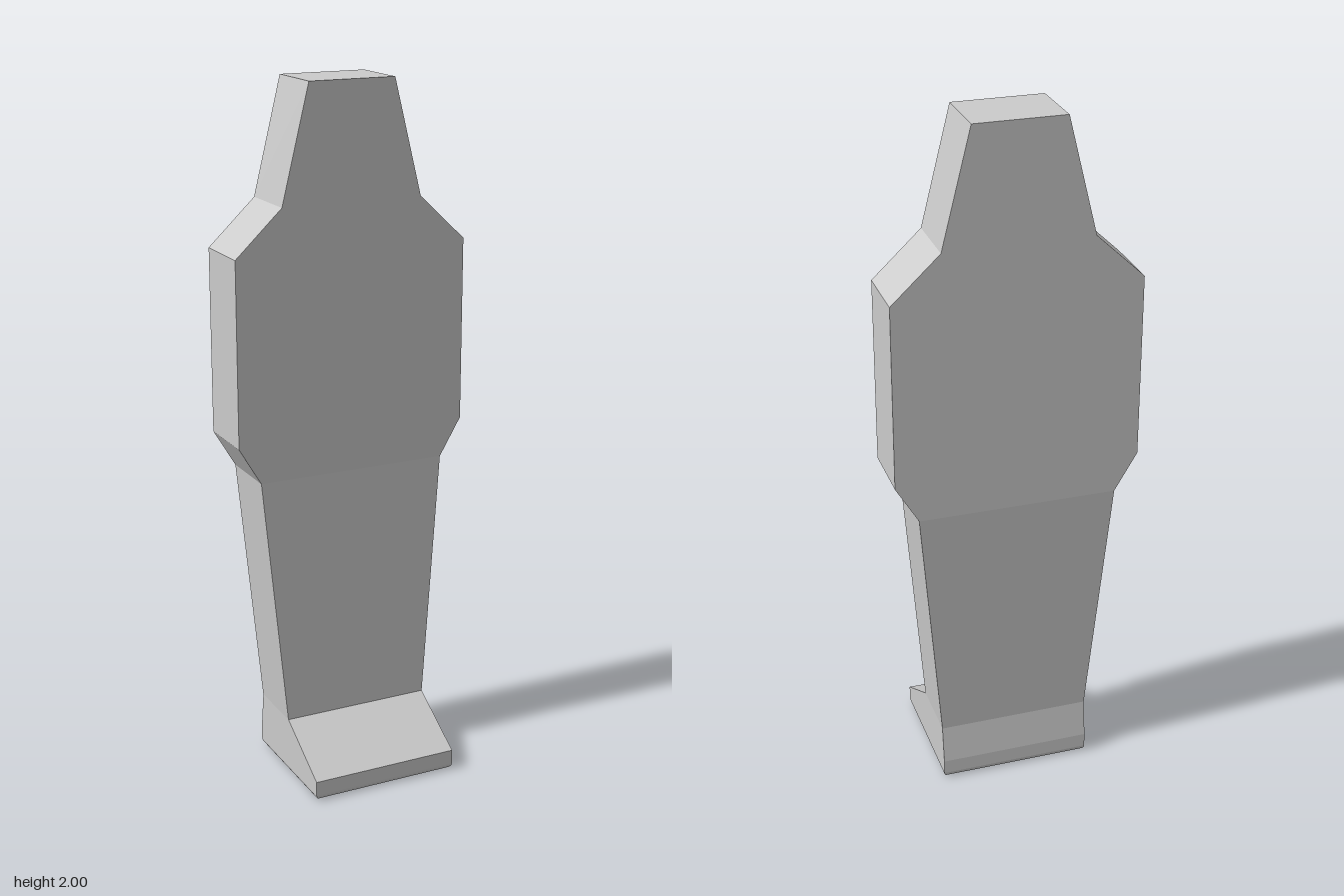
import * as THREE from 'three';

// Closed, flat-faced solid through a stack of rectangles: [y, half width, front z, back z]
function loftRectangles(rows) {
  const rings = rows.map(([y, w, f, b]) => [[-w, y, f], [w, y, f], [w, y, b], [-w, y, b]]);
  const positions = [];
  const quad = (a, b, c, d) => positions.push(...a, ...b, ...c, ...a, ...c, ...d);
  for (let i = 0; i < rings.length - 1; i++) {
    const low = rings[i], high = rings[i + 1];
    for (let k = 0; k < 4; k++) {
      const n = (k + 1) % 4;
      quad(low[k], low[n], high[n], high[k]);
    }
  }
  const [a, b, c, d] = rings[0];
  quad(d, c, b, a);
  quad(...rings[rings.length - 1]);
  const geometry = new THREE.BufferGeometry();
  geometry.setAttribute('position', new THREE.Float32BufferAttribute(positions, 3));
  geometry.computeVertexNormals();
  return geometry;
}

export function createModel() {
  const group = new THREE.Group();
  const material = new THREE.MeshStandardMaterial({ color: 0xcccccc, flatShading: true });

  // Rounded lower rim of the foot
  const rows = [];
  const radius = 0.018, steps = 5;
  for (let i = 0; i < steps; i++) {
    const t = (i / steps) * Math.PI / 2;
    const inset = radius * (1 - Math.sin(t));
    rows.push([radius * (1 - Math.cos(t)), 0.22 - inset, 0.203 - inset, -0.19 + inset]);
  }

  rows.push(
    [radius, 0.22, 0.203, -0.19],
    [0.06, 0.22, 0.203, -0.19],    // toe edge
    [0.17, 0.22, 0.01, -0.175],    // ankle
    [0.90, 0.283, -0.013, -0.203], // hips
    [1.01, 0.348, -0.013, -0.203], // lower edge of the wide body
    [1.54, 0.348, -0.013, -0.203], // shoulders
    [1.67, 0.21, -0.013, -0.203],  // neck
    [2.00, 0.128, -0.013, -0.203], // top of the head
  );

  const body = new THREE.Mesh(loftRectangles(rows), material);
  body.name = 'standingFigure';
  group.add(body);
  return group;
}
